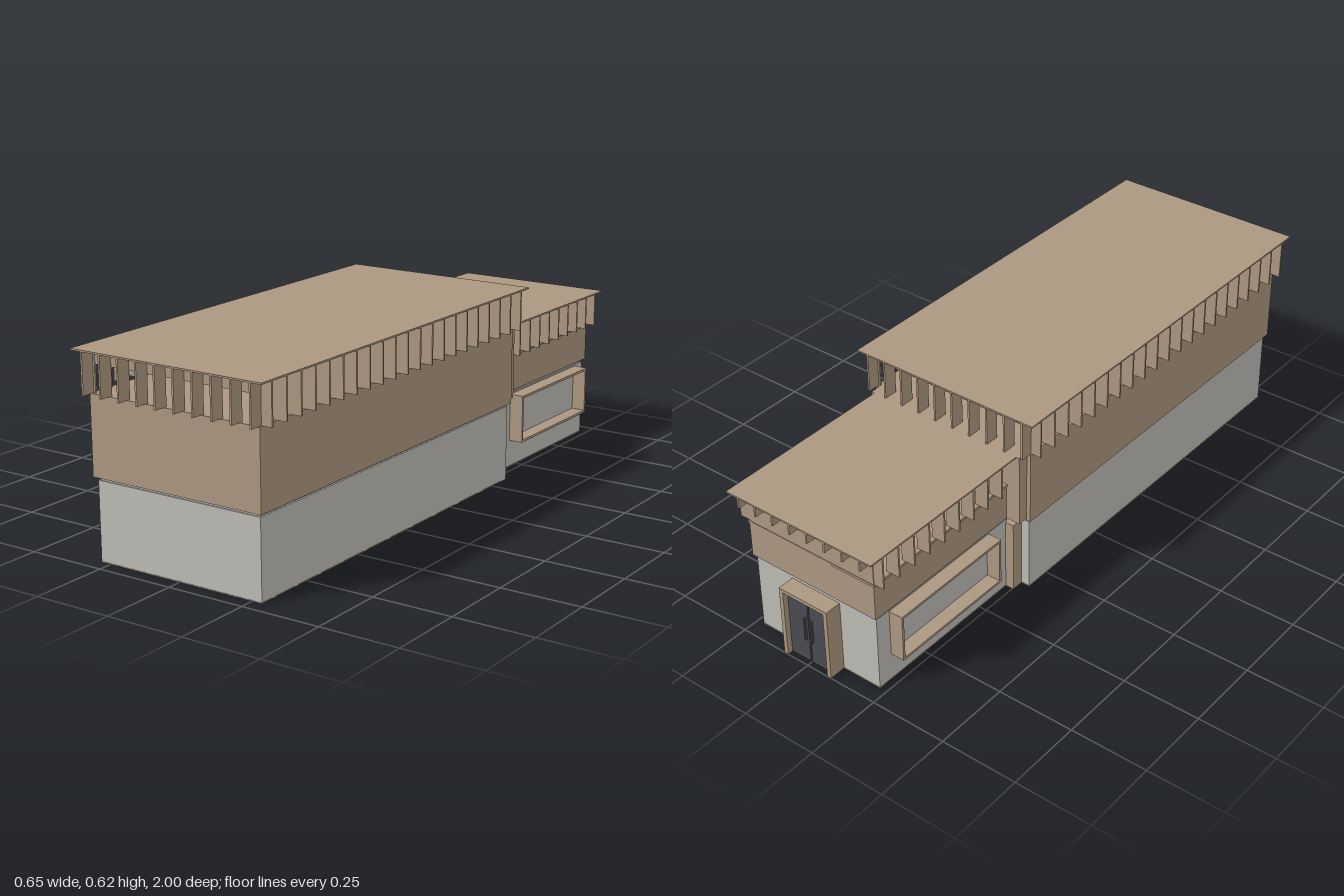
import * as THREE from 'three';

export function createModel() {
  const paint = (name, color) => {
    const m = new THREE.MeshStandardMaterial({ color });
    m.name = name;
    return m;
  };
  const tan = paint('tan cladding', 0xab9780);
  const grey = paint('pale grey wall', 0xbdbbb5);
  const dark = paint('dark door', 0x4a4a52);
  const model = new THREE.Group();
  model.name = 'building';

  // Box given by its limits on each axis
  const box = (parent, name, mat, x0, x1, y0, y1, z0, z1) => {
    const mesh = new THREE.Mesh(new THREE.BoxGeometry(x1 - x0, y1 - y0, z1 - z0), mat);
    mesh.position.set((x0 + x1) / 2, (y0 + y1) / 2, (z0 + z1) / 2);
    mesh.name = name;
    parent.add(mesh);
    return mesh;
  };
  const wide = (parent, name, mat, half, y0, y1, z0, z1) =>
    box(parent, name, mat, -half, half, y0, y1, z0, z1);
  const group = (name) => {
    const g = new THREE.Group();
    g.name = name;
    model.add(g);
    return g;
  };

  // Thin roof plate on a raised ceiling block
  const roof = (parent, half, inner, yCeil, yTop, z0, z1, zi0, zi1) => {
    wide(parent, 'roofPlate', tan, half, yTop - 0.005, yTop, z0, z1);
    wide(parent, 'ceilingBlock', tan, inner, yCeil, yTop - 0.005, zi0, zi1);
  };
  // Row of fins hanging under both long eaves
  const sideFins = (parent, x0, x1, y0, y1, z0, z1, count) => {
    for (let i = 0; i < count; i++) {
      const z = z0 + (z1 - z0) * i / (count - 1);
      box(parent, 'leftFin', tan, x0, x1, y0, y1, z - 0.003, z + 0.003);
      box(parent, 'rightFin', tan, -x1, -x0, y0, y1, z - 0.003, z + 0.003);
    }
  };

  // Main hall
  const hall = group('mainHall');
  wide(hall, 'hallFloor', tan, 0.284, 0, 0.003, -0.336, 0.956);
  wide(hall, 'hallBase', grey, 0.283, 0.002, 0.243, -0.335, 0.955);
  wide(hall, 'hallRecess', grey, 0.277, 0.243, 0.253, -0.33, 0.95);
  wide(hall, 'hallUpperWall', tan, 0.293, 0.253, 0.495, -0.343, 0.965);
  roof(hall, 0.327, 0.281, 0.577, 0.625, -0.38, 1.0, -0.334, 0.954);
  sideFins(hall, 0.28, 0.326, 0.495, 0.62, -0.335, 0.953, 21);
  // End fins of the hall, front and rear
  for (let i = 0; i < 10; i++) {
    const x = -0.289 + i * 0.0642;
    box(hall, 'frontFin', tan, x - 0.003, x + 0.003, 0.495, 0.62, 0.953, 0.999);
    box(hall, 'rearFin', tan, x - 0.003, x + 0.003, 0.495, 0.62, -0.379, -0.333);
  }

  // Link between the two volumes
  const link = group('link');
  wide(link, 'linkLower', tan, 0.255, 0.001, 0.24, -0.375, -0.33);
  wide(link, 'linkUpper', tan, 0.28, 0.26, 0.495, -0.378, -0.34);

  // Lower rear wing
  const wing = group('rearWing');
  wide(wing, 'wingFloor', tan, 0.227, 0, 0.003, -0.946, -0.33);
  wide(wing, 'wingBase', grey, 0.226, 0.002, 0.25, -0.945, -0.37);
  wide(wing, 'wingRecess', grey, 0.22, 0.25, 0.26, -0.94, -0.37);
  wide(wing, 'wingUpperWall', tan, 0.233, 0.26, 0.376, -0.955, -0.37);
  wide(wing, 'wingSill', tan, 0.236, 0.376, 0.384, -0.957, -0.37);
  wide(wing, 'rearParapet', tan, 0.233, 0.384, 0.455, -0.955, -0.947);
  roof(wing, 0.268, 0.225, 0.453, 0.495, -0.999, -0.375, -0.953, -0.375);
  sideFins(wing, 0.222, 0.267, 0.384, 0.49, -0.95, -0.44, 9);
  // Short fins along the rear eave
  for (let i = 0; i < 8; i++) {
    const x = -0.225 + i * 0.0643;
    box(wing, 'rearEaveFin', tan, x - 0.003, x + 0.003, 0.455, 0.49, -0.998, -0.952);
  }

  // Projecting window frames on both sides
  for (const s of [-1, 1]) {
    const frame = group(s > 0 ? 'leftWindowFrame' : 'rightWindowFrame');
    const a = Math.min(s * 0.22, s * 0.272), b = Math.max(s * 0.22, s * 0.272);
    box(frame, 'windowTop', tan, a, b, 0.238, 0.246, -0.892, -0.454);
    box(frame, 'windowSill', tan, a, b, 0.09, 0.098, -0.892, -0.454);
    box(frame, 'windowRearSide', tan, a, b, 0.098, 0.238, -0.892, -0.884);
    box(frame, 'windowFrontSide', tan, a, b, 0.098, 0.238, -0.462, -0.454);
  }

  // Rear entrance: portal with two door leaves
  const door = group('entrance');
  wide(door, 'portalTop', tan, 0.09, 0.228, 0.24, -1.0, -0.94);
  for (const s of [-1, 1]) {
    const limits = (p, q) => [Math.min(s * p, s * q), Math.max(s * p, s * q)];
    box(door, 'portalSide', tan, ...limits(0.076, 0.09), 0, 0.228, -1.0, -0.94);
    box(door, 'doorLeaf', dark, ...limits(0.003, 0.076), 0.001, 0.228, -0.982, -0.94);
    box(door, 'doorHandle', dark, ...limits(0.01, 0.015), 0.08, 0.16, -0.989, -0.982);
  }
  wide(door, 'doorSeam', dark, 0.003, 0.001, 0.228, -0.976, -0.94);

  return model;
}
